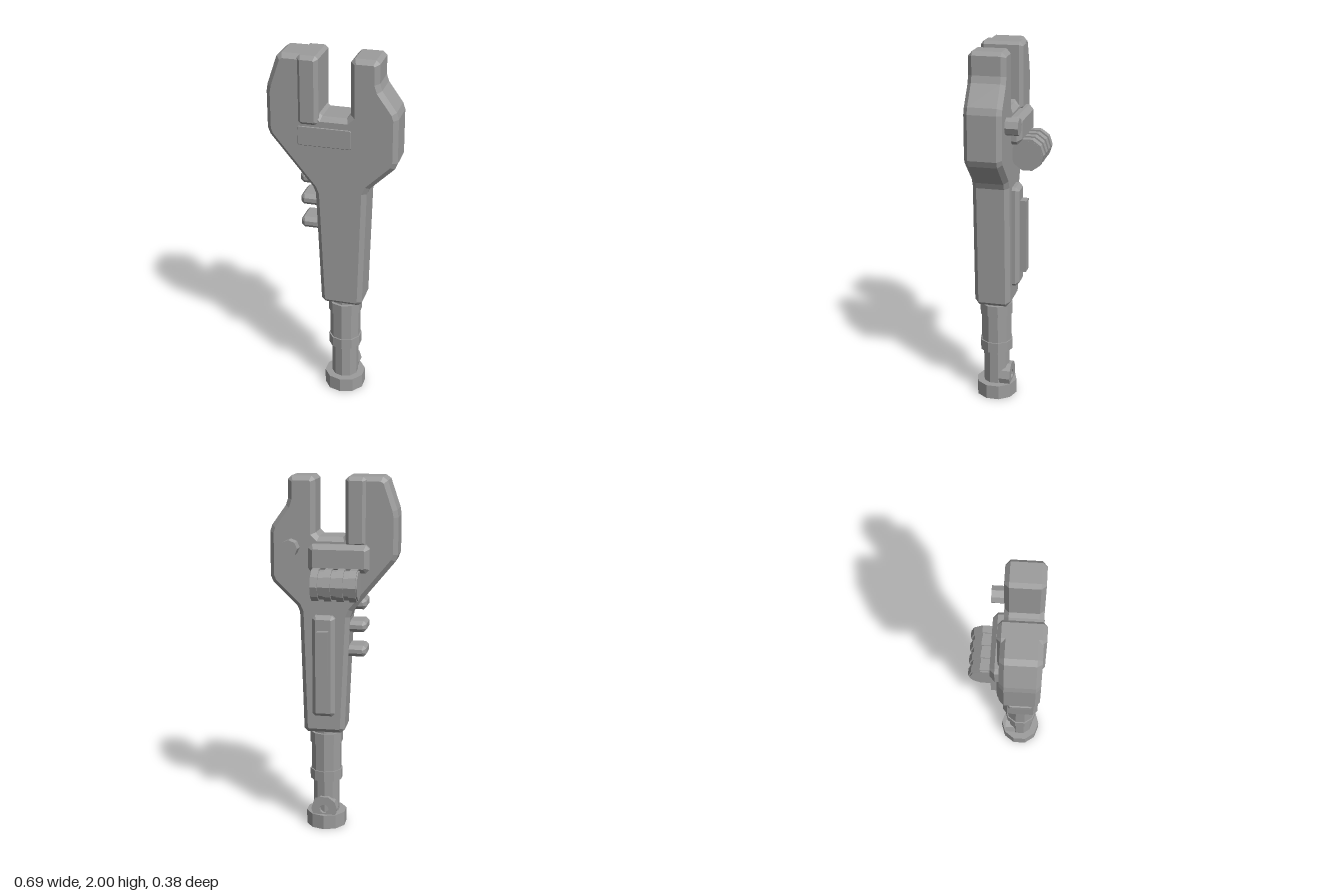
import * as THREE from 'three';

const steel = new THREE.MeshStandardMaterial({ color: 0x9c9c9c });
steel.name = 'steelGrey';

// Outline with every corner cut off at distance c
function cutCorners(points, c) {
  const out = [];
  const n = points.length;
  points.forEach((p, i) => {
    const v = new THREE.Vector2(...p);
    for (const q of [points[(i + n - 1) % n], points[(i + 1) % n]]) {
      const d = new THREE.Vector2(...q).sub(v).setLength(c);
      out.push(v.clone().add(d));
    }
  });
  return new THREE.Shape(out);
}

// Bevelled slab from z0 (back) to z1 (front)
function slab(points, z0, z1, bevel, cut = bevel * 0.8) {
  const geo = new THREE.ExtrudeGeometry(cutCorners(points, cut), {
    depth: z1 - z0 - 2 * bevel, bevelThickness: bevel, bevelSize: bevel,
    bevelOffset: -bevel, bevelSegments: 1,
  });
  return geo.translate(0, 0, z0 + bevel);
}

function block(x0, x1, y0, y1, z0, z1, bevel) {
  return slab([[x0, y0], [x1, y0], [x1, y1], [x0, y1]], z0, z1, bevel);
}

// Faceted cylinder, centred on the origin along y
function faceted(radius, length, sides = 10) {
  const geo = new THREE.CylinderGeometry(radius, radius, length, sides).toNonIndexed();
  geo.computeVertexNormals();
  return geo;
}

export function createModel() {
  const model = new THREE.Group();
  model.name = 'wrench';
  const add = (name, geo) => {
    const mesh = new THREE.Mesh(geo, steel);
    mesh.name = name;
    model.add(mesh);
  };

  // Head and tapered handle in one outline
  add('body', slab([
    [-0.065, 0.577], [0.162, 0.577], [0.183, 1.285], [0.343, 1.44], [0.343, 1.72],
    [0.243, 1.86], [0.243, 2], [0.095, 2], [0.095, 1.68], [-0.075, 1.68],
    [-0.075, 2], [-0.285, 2], [-0.35, 1.81], [-0.35, 1.57], [-0.095, 1.26],
  ], -0.025, 0.175, 0.024, 0.02));

  // Jaw lining and the sliding block across the head
  add('jawPad', block(-0.182, -0.07, 1.63, 2, -0.042, 0.19, 0.02));
  add('slidingBlock', block(-0.205, 0.125, 1.495, 1.645, -0.08, 0.178, 0.025));

  // Adjusting screw: core with four ridges, lying along x
  const screwPart = (name, x0, x1, r) => add(name, faceted(r, x1 - x0)
    .rotateZ(Math.PI / 2).translate((x0 + x1) / 2, 1.438, -0.105));
  screwPart('screwCore', -0.157, 0.094, 0.08);
  for (const x of [-0.15, -0.082, -0.015, 0.054]) screwPart('screwRidge', x, x + 0.039, 0.089);

  // Pivot bolt on the back of the head
  add('bolt', faceted(0.047, 0.09, 8).rotateX(Math.PI / 2).translate(0.224, 1.622, -0.05));

  // Grip plate and raised strip on the back of the handle
  add('gripPlate', block(-0.018, 0.108, 0.685, 1.255, -0.064, 0, 0.02));
  add('gripStrip', new THREE.BoxGeometry(0.06, 0.41, 0.06).translate(0.045, 0.97, -0.068));

  // Finger ribs on the right edge
  for (const y of [1.05, 1.188, 1.316]) {
    add('fingerRib', block(-0.182, -0.03, y - 0.031, y + 0.031, 0, 0.15, 0.02));
  }

  // Stepped shaft and foot
  const shaftPart = (name, y0, y1, r) => add(name,
    faceted(r, y1 - y0).translate(0.05, (y0 + y1) / 2, 0.076));
  shaftPart('neck', 0.55, 0.6, 0.078);
  shaftPart('topCollar', 0.5, 0.565, 0.093);
  shaftPart('upperShaft', 0.3, 0.52, 0.086);
  shaftPart('lowerCollar', 0.28, 0.34, 0.093);
  shaftPart('lowerShaft', 0.06, 0.3, 0.075);
  shaftPart('foot', 0, 0.082, 0.115);

  // Hanging lug with a hole behind the foot
  const lug = new THREE.Shape().absarc(0, 0, 0.075, 0, Math.PI * 2);
  lug.holes.push(new THREE.Path().absarc(0, 0, 0.026, 0, Math.PI * 2, true));
  add('hangingLug', new THREE.ExtrudeGeometry(lug, {
    depth: 0.062, curveSegments: 5, bevelEnabled: false,
  }).translate(0.05, 0.115, -0.014));

  return model;
}
